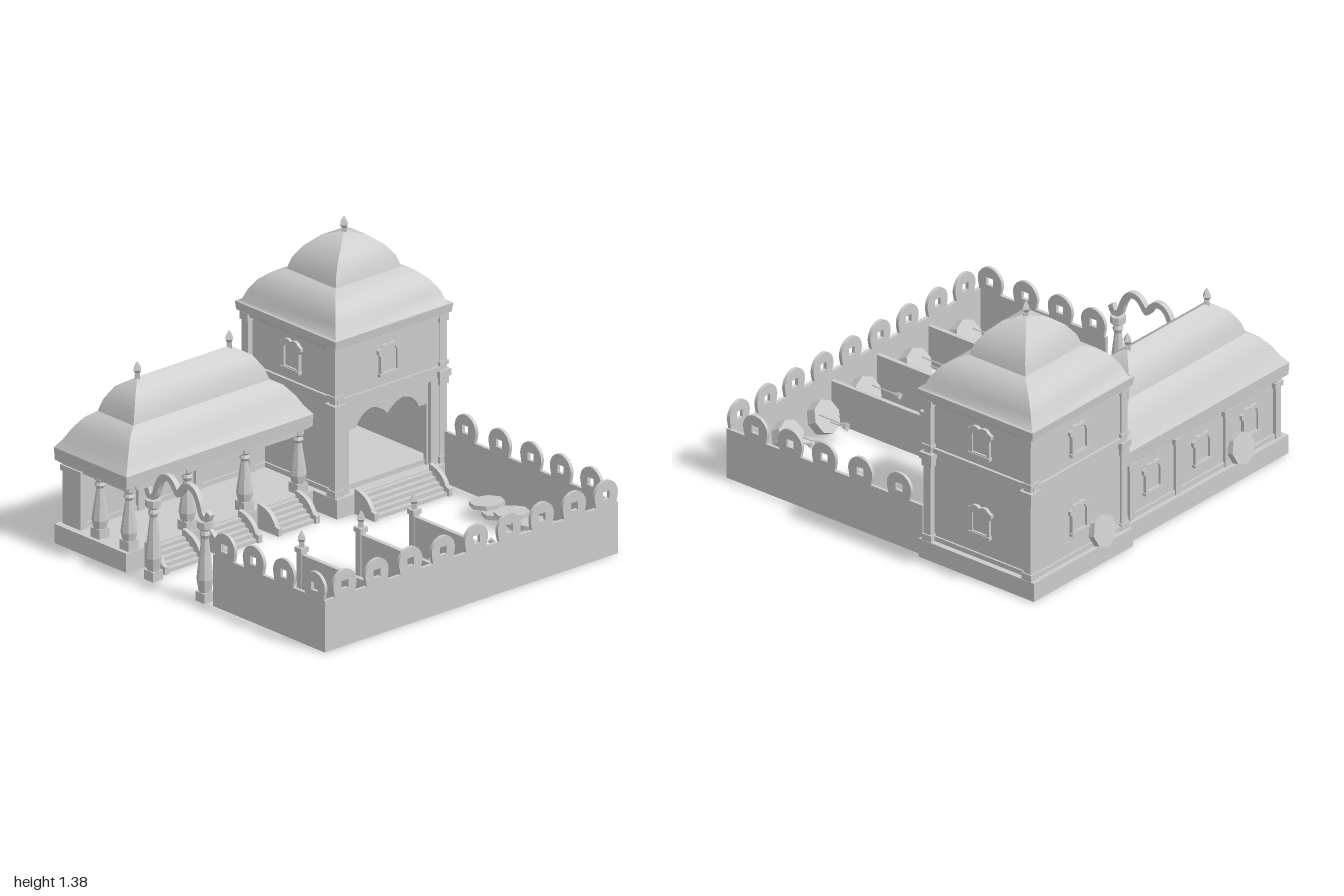
import * as THREE from 'three';

export function createModel() {
  const root = new THREE.Group();
  const mat = new THREE.MeshStandardMaterial({ color: 0xcccccc, side: THREE.DoubleSide });
  const V2 = (x, y) => new THREE.Vector2(x, y);

  const add = (name, geo, x = 0, y = 0, z = 0, parent = root) => {
    const m = new THREE.Mesh(geo, mat);
    m.name = name;
    m.position.set(x, y, z);
    parent.add(m);
    return m;
  };
  // box given by its limits on each axis
  const box = (name, x0, x1, y0, y1, z0, z1, parent) =>
    add(name, new THREE.BoxGeometry(x1 - x0, y1 - y0, z1 - z0), (x0 + x1) / 2, (y0 + y1) / 2, (z0 + z1) / 2, parent);
  const post = (name, x, z, w, y0, y1) => box(name, x - w / 2, x + w / 2, y0, y1, z - w / 2, z + w / 2);
  const extrude = (shape, depth) =>
    new THREE.ExtrudeGeometry(shape, { depth, bevelEnabled: false, curveSegments: 10 }).translate(0, 0, -depth / 2);
  const faceted = geo => {
    const g = geo.toNonIndexed();
    g.computeVertexNormals();
    return g;
  };
  const lathe = (pts, sides) => faceted(new THREE.LatheGeometry(pts.map(p => V2(...p)), sides));

  // four-sided roof tier: rings of [half x, half z, y], smooth up each side, sharp at hips
  function roofTier(name, cx, cz, rings, flat = false) {
    const pos = [], idx = [];
    const signs = [[-1, 1], [1, 1], [1, -1], [-1, -1]];
    for (let s = 0; s < 4; s++) {
      const a = signs[s], b = signs[(s + 1) % 4], start = pos.length / 3;
      rings.forEach(([hx, hz, y], i) => {
        pos.push(a[0] * hx, y, a[1] * hz, b[0] * hx, y, b[1] * hz);
        const k = start + 2 * i;
        if (i) idx.push(k - 2, k - 1, k + 1, k - 2, k + 1, k);
      });
    }
    const g = new THREE.BufferGeometry();
    g.setAttribute('position', new THREE.Float32BufferAttribute(pos, 3));
    g.setIndex(idx);
    g.computeVertexNormals();
    add(name, flat ? faceted(g) : g, cx, 0, cz);
  }
  function finial(x, y, z) {
    add('finial', lathe([[0.018, -0.02], [0.018, 0.02], [0.013, 0.02], [0.026, 0.037], [0.015, 0.06], [0, 0.082]], 4), x, y, z);
  }

  // hollow plinth with a floor
  function plinth(x0, x1, z0, z1) {
    const t = 0.025;
    box('plinthFloor', x0, x1, 0.07, 0.1, z0, z1);
    box('plinthSide', x0, x0 + t, 0, 0.07, z0, z1);
    box('plinthSide', x1 - t, x1, 0, 0.07, z0, z1);
    box('plinthSide', x0, x1, 0, 0.07, z0, z0 + t);
    box('plinthSide', x0, x1, 0, 0.07, z1 - t, z1);
  }

  // stairs running forward (+z), with curved cheeks
  function stairs(x0, x1, z, run) {
    const n = 5;
    for (let i = 0; i < n; i++)
      box('step', x0 + 0.02, x1 - 0.02, 0, 0.095 * (1 - i / n), z + run * 0.9 * i / n, z + run * 0.9 * (i + 1) / n);
    const s = new THREE.Shape([V2(0, 0), V2(run, 0), V2(run, 0.04), V2(run * 0.85, 0.045)]);
    s.quadraticCurveTo(run * 0.65, 0.12, 0, 0.13);
    for (const x of [x0 + 0.012, x1 - 0.012]) add('stairCheek', extrude(s, 0.025).rotateY(-Math.PI / 2), x, 0, z);
  }

  // window with a flared, cusped head and a recessed panel
  function windowAt(x, y, z, ry) {
    const g = new THREE.Group();
    g.name = 'window';
    const outline = (P, w, flare, b, t) => {
      P.moveTo(-w, b);
      P.lineTo(w, b);
      P.lineTo(w, t - 0.015);
      P.lineTo(w + flare, t);
      P.lineTo(w + flare, t + 0.02);
      P.quadraticCurveTo(w * 0.9, t + 0.025, w * 0.75, t + 0.04);
      P.quadraticCurveTo(w * 0.4, t + 0.05, 0, t + 0.035);
      P.quadraticCurveTo(-w * 0.4, t + 0.05, -w * 0.75, t + 0.04);
      P.quadraticCurveTo(-w * 0.9, t + 0.025, -w - flare, t + 0.02);
      P.lineTo(-w - flare, t);
      P.lineTo(-w, t - 0.015);
      return P;
    };
    const frame = outline(new THREE.Shape(), 0.062, 0.014, -0.07, 0.045);
    frame.holes.push(outline(new THREE.Path(), 0.046, 0, -0.055, 0.025));
    add('windowFrame', extrude(frame, 0.03), 0, 0, 0, g);
    box('windowPanel', -0.05, 0.05, -0.06, 0.07, -0.01, 0.004, g);
    box('windowSill', -0.068, 0.068, -0.075, -0.06, -0.015, 0.02, g);
    g.position.set(x, y, z);
    g.rotation.y = ry;
    root.add(g);
  }

  // tapered baluster column with square foot and eight-sided capital of radius cap
  function column(x, z, y0, y1, cap) {
    const h = y1 - y0;
    add('column', lathe([[0.022, 0], [0.03, 0.1 * h], [0.042, 0.28 * h], [0.036, 0.42 * h], [0.018, 0.78 * h], [0.028, 0.83 * h], [0.02, 0.88 * h], [cap, 0.91 * h], [cap, h], [0, h]], 8), x, y0, z);
    post('columnFoot', x, z, 0.066, y0, y0 + 0.05);
  }

  // ---- Tower ----
  const tx = 0.605, tz = -0.6;
  plinth(0.23, 0.98, -0.965, -0.235);
  const face = new THREE.Shape([V2(0.27, 0.1), V2(0.94, 0.1), V2(0.94, 0.88), V2(0.27, 0.88)]);
  face.holes.push(new THREE.Path([V2(0.335, 0.1), V2(0.87, 0.1), V2(0.87, 0.54), V2(0.335, 0.54)]));
  add('towerFrontWall', extrude(face, 0.03), 0, 0, -0.28);
  const arch = new THREE.Shape([V2(0.87, 0.1), V2(0.87, 0.54), V2(0.335, 0.54), V2(0.335, 0.1), V2(0.345, 0.1), V2(0.345, 0.42), V2(0.4, 0.42)]);
  arch.quadraticCurveTo(0.43, 0.49, 0.505, 0.5);
  arch.quadraticCurveTo(0.56, 0.49, tx, 0.44);
  arch.quadraticCurveTo(0.65, 0.49, 0.705, 0.5);
  arch.quadraticCurveTo(0.78, 0.49, 0.81, 0.42);
  arch.lineTo(0.86, 0.42);
  arch.lineTo(0.86, 0.1);
  add('entranceArch', extrude(arch, 0.02), 0, 0, -0.295);
  box('towerBackWall', 0.27, 0.94, 0.1, 0.88, -0.93, -0.9);
  box('towerSideWall', 0.27, 0.3, 0.1, 0.88, -0.9, -0.295);
  box('towerSideWall', 0.91, 0.94, 0.1, 0.88, -0.9, -0.295);
  box('upperFloor', 0.3, 0.91, 0.56, 0.6, -0.9, -0.295);
  box('footBand', 0.26, 0.95, 0.1, 0.125, -0.94, -0.3);
  box('floorBand', 0.255, 0.955, 0.585, 0.61, -0.943, -0.255);
  box('topBand', 0.255, 0.955, 0.86, 0.88, -0.943, -0.255);
  for (const x of [0.262, 0.948]) for (const z of [-0.915, -0.282]) {
    post('cornerPillar', x, z, 0.045, 0.1, 0.88);
    post('pillarFoot', x, z, 0.06, 0.1, 0.135);
    post('pillarCapital', x, z, 0.075, 0.55, 0.585);
    post('pillarCapital', x, z, 0.06, 0.51, 0.55);
    post('pillarCapital', x, z, 0.06, 0.61, 0.63);
    post('pillarCapital', x, z, 0.06, 0.84, 0.88);
  }
  roofTier('towerEave', tx, tz, [[0.36, 0.34, 0.86], [0.367, 0.347, 0.885], [0.38, 0.36, 0.885], [0.385, 0.365, 0.93]], true);
  roofTier('towerLowerRoof', tx, tz, [[0.385, 0.365, 0.93], [0.363, 0.343, 0.935], [0.342, 0.318, 0.995], [0.308, 0.28, 1.05], [0.265, 0.23, 1.09], [0.215, 0.178, 1.11]]);
  roofTier('towerDome', tx, tz, [[0.215, 0.178, 1.11], [0.195, 0.16, 1.17], [0.15, 0.125, 1.23], [0.085, 0.075, 1.28], [0, 0, 1.305]]);
  finial(tx, 1.3, tz);
  windowAt(0.59, 0.735, -0.262, 0);
  for (const y of [0.3, 0.735]) {
    windowAt(0.943, y, tz, Math.PI / 2);
    windowAt(tx, y, -0.933, Math.PI);
  }
  windowAt(0.267, 0.735, tz, -Math.PI / 2);
  stairs(0.345, 0.855, -0.235, 0.145);

  // ---- Hall with a deep open veranda ----
  const hx = -0.378, hz = -0.672;
  plinth(-0.99, 0.23, -0.93, -0.41);
  box('hallBackWall', -0.93, 0.27, 0.1, 0.44, -0.895, -0.8);
  box('hallFootBand', -0.94, 0.27, 0.1, 0.125, -0.905, -0.79);
  box('hallEndBeam', -0.95, -0.92, 0.4, 0.44, -0.9, -0.43);
  box('hallSoffit', -0.975, 0.22, 0.425, 0.445, -0.92, -0.425);
  for (let i = 0; i < 29; i++) box('dentil', -0.93 + i * 0.04, -0.915 + i * 0.04, 0.412, 0.425, -0.91, -0.895);
  roofTier('hallEave', hx, hz, [[0.585, 0.24, 0.43], [0.608, 0.26, 0.435], [0.612, 0.263, 0.5]], true);
  roofTier('hallLowerRoof', hx, hz, [[0.612, 0.263, 0.5], [0.58, 0.235, 0.54], [0.545, 0.205, 0.6], [0.5, 0.168, 0.655], [0.445, 0.13, 0.686]]);
  roofTier('hallUpperRoof', hx, hz, [[0.445, 0.13, 0.686], [0.423, 0.112, 0.75], [0.382, 0.075, 0.815], [0.302, 0, 0.865]]);
  for (const x of [-0.68, -0.08]) finial(x, 0.865, hz);

  for (const x of [-0.935, -0.555, -0.18, 0.17]) {
    column(x, -0.45, 0.1, 0.43, 0.028);
    box('pilaster', x - 0.02, x + 0.02, 0.1, 0.42, -0.912, -0.78);
    box('pilasterCapital', x - 0.03, x + 0.03, 0.38, 0.41, -0.917, -0.77);
  }
  column(-0.935, -0.66, 0.1, 0.43, 0.028);
  for (const x of [-0.735, -0.37, 0.005]) {
    windowAt(x, 0.265, -0.897, Math.PI);
    stairs(x - 0.135, x + 0.135, -0.41, 0.15);
    box('verandaBeam', x - 0.165, x + 0.165, 0.4, 0.43, -0.46, -0.435);
  }

  // ---- Courtyard walls with rounded, pierced merlons ----
  function wall(name, a, b, centres) {
    const s = new THREE.Shape([V2(a, 0), V2(b, 0), V2(b, 0.27)]);
    for (const c of [...centres].sort((p, q) => q - p)) {
      s.lineTo(c + 0.066, 0.27);
      s.absarc(c, 0.324, 0.076, -0.3, Math.PI + 0.3, false);
      s.lineTo(c - 0.066, 0.27);
      s.holes.push(new THREE.Path([V2(c - 0.022, 0.302), V2(c - 0.022, 0.344), V2(c + 0.022, 0.344), V2(c + 0.022, 0.302)]));
    }
    s.lineTo(a, 0.27);
    return add(name, extrude(s, 0.018));
  }
  wall('frontWall', -0.96, 0.955, [-0.83, -0.62, -0.4, -0.187, 0.03, 0.245, 0.46, 0.67, 0.878]).position.z = 0.99;
  for (const [name, x, a, c] of [['rightWall', 0.946, 0.24, [0.09, -0.155, -0.385, -0.6, -0.82]], ['leftWall', -0.953, -0.19, [-0.27, -0.48, -0.7, -0.923]]]) {
    const w = wall(name, -1, a, c);
    w.rotation.y = Math.PI / 2;
    w.position.x = x;
  }

  // ---- Side gate ----
  for (const z of [-0.262, 0.112]) column(-0.945, z, 0, 0.42, 0.04);
  const half = [[0.225, 0.47], [0.205, 0.432], [0.172, 0.445], [0.148, 0.505], [0.12, 0.55], [0.08, 0.567], [0.04, 0.55], [0, 0.495]];
  const line = new THREE.SplineCurve(half.map(p => V2(...p)));
  const edge = k => Array.from({ length: 25 }, (_, i) => {
    const t = line.getTangent(i / 24), p = line.getPoint(i / 24).add(V2(-t.y * k, t.x * k));
    return i === 24 ? V2(0, p.y) : p;
  });
  const ribbon = new THREE.Shape([...edge(0.016), ...edge(-0.016).reverse()]);
  for (const side of [1, -1])
    add('gateArch', extrude(ribbon, 0.03).rotateY(-side * Math.PI / 2), -0.945, 0, -0.075);

  // ---- Range dividers ----
  for (const x of [-0.56, -0.172, 0.175]) {
    box('divider', x - 0.012, x + 0.012, 0, 0.225, 0.385, 0.98);
    post('dividerPost', x, 0.385, 0.036, 0, 0.25);
    post('dividerPostCap', x, 0.385, 0.05, 0.235, 0.26);
    finial(x, 0.265, 0.385);
  }

  // ---- Round targets, arrows and spare discs ----
  const disc = (name, x, y, z, tilt, r, t) =>
    add(name, faceted(new THREE.CylinderGeometry(r, r, t, 8)), x, y, z).rotation.x = tilt;
  const shaft = new THREE.CylinderGeometry(0.004, 0.004, 0.19, 5).rotateX(Math.PI / 2);
  const fletch = new THREE.ConeGeometry(0.02, 0.055, 4).rotateX(Math.PI / 2);
  // each entry: target x, near arrow x, far arrow x
  for (const [x, a, b] of [[-0.75, -0.79, -0.757], [-0.37, -0.405, -0.433], [0.012, -0.027, 0.065], [0.327, 0.372, 0.32], [0.595, 0.64, 0.528]]) {
    disc('target', x, 0.105, 0.912, -1.08, 0.088, 0.055);
    [a, b].forEach((ax, i) => {
      const y = 0.14 - 0.05 * i, z = 0.72 + 0.045 * i;
      add('arrowShaft', shaft, ax, y, z + 0.1);
      add('arrowFletching', fletch, ax, y, z + 0.03);
    });
  }
  for (let i = 0; i < 5; i++)
    disc('stackedDisc', 0.8, i % 2 ? 0.045 : 0.07, 0.222 + i * 0.089, -0.08, 0.088, 0.022);
  disc('leaningShield', 0.46, 0.18, -0.965, -1.33, 0.085, 0.035);
  disc('leaningShield', -0.625, 0.18, -0.935, -1.33, 0.085, 0.035);

  return root;
}
